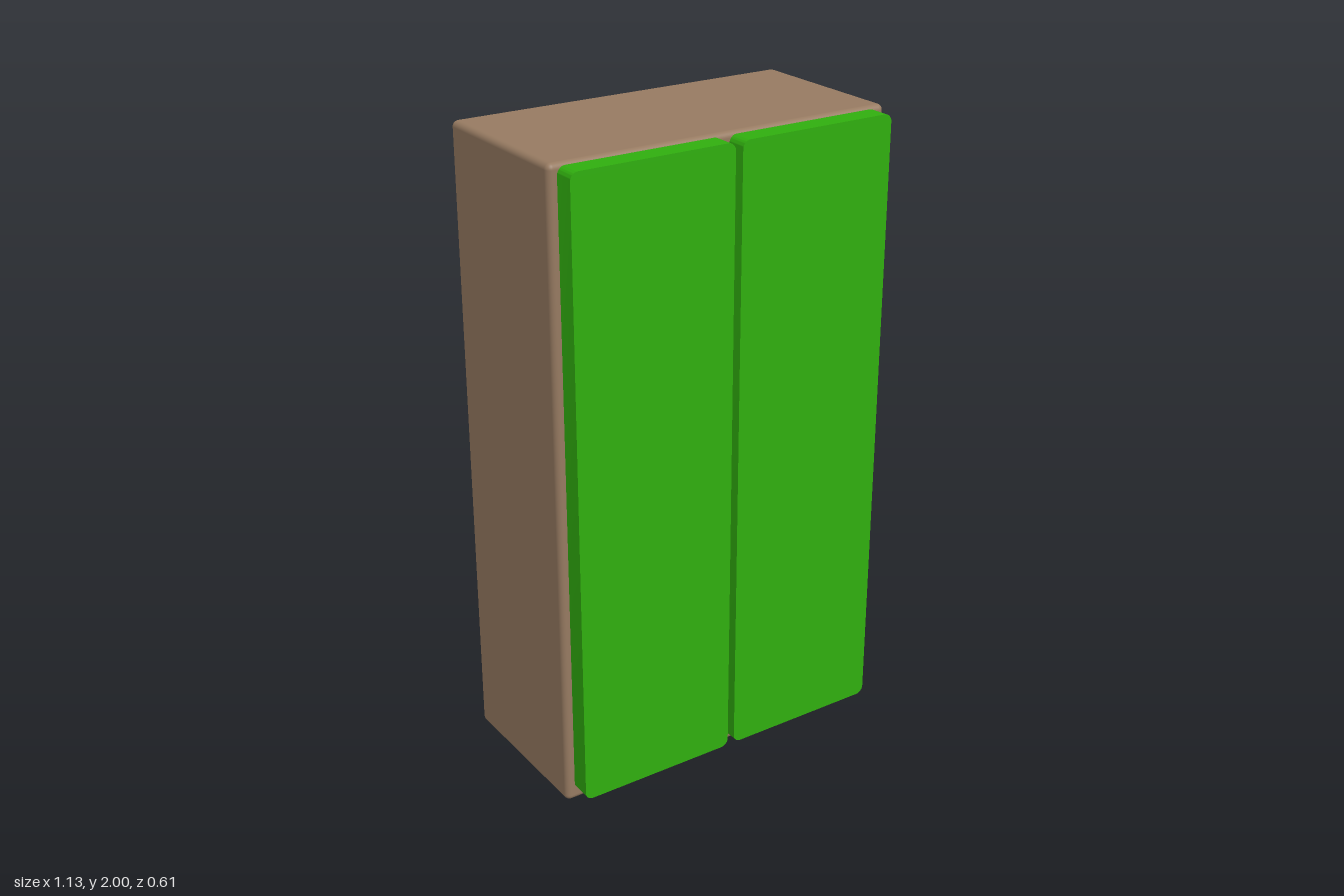
import * as THREE from 'three';
import { toCreasedNormals } from 'three/addons/utils/BufferGeometryUtils.js';
import { RoundedBoxGeometry } from 'three/addons/geometries/RoundedBoxGeometry.js';

// Upright rectangle with rounded corners, centred on the origin
function roundedRect(w, h, r) {
  const x = w / 2, y = h / 2, s = new THREE.Shape();
  s.absarc(x - r, y - r, r, 0, Math.PI / 2);
  s.absarc(-x + r, y - r, r, Math.PI / 2, Math.PI);
  s.absarc(-x + r, -y + r, r, Math.PI, Math.PI * 1.5);
  s.absarc(x - r, -y + r, r, Math.PI * 1.5, Math.PI * 2);
  return s;
}

export function createModel() {
  const model = new THREE.Group();
  model.name = 'wardrobe';

  const brown = new THREE.MeshStandardMaterial({ color: 0x967a61 });
  brown.name = 'brown wood';
  const green = new THREE.MeshStandardMaterial({ color: 0x30ae0f });
  green.name = 'green paint';

  // Cabinet body with softly rounded edges
  const body = new THREE.Mesh(new RoundedBoxGeometry(1.126, 2, 0.543, 4, 0.018), brown);
  body.name = 'cabinet';
  body.position.set(0, 1, -0.0325);
  model.add(body);

  // Pair of door slabs standing proud of the front
  const doorGeometry = toCreasedNormals(
    new THREE.ExtrudeGeometry(roundedRect(0.523, 1.955, 0.025), {
      depth: 0.072, bevelEnabled: false, curveSegments: 6,
    }), 0.7);
  for (const side of [-1, 1]) {
    const door = new THREE.Mesh(doorGeometry, green);
    door.name = side > 0 ? 'leftDoor' : 'rightDoor';
    door.position.set(side * 0.2735, 1.0135, 0.233);
    model.add(door);
  }
  return model;
}
